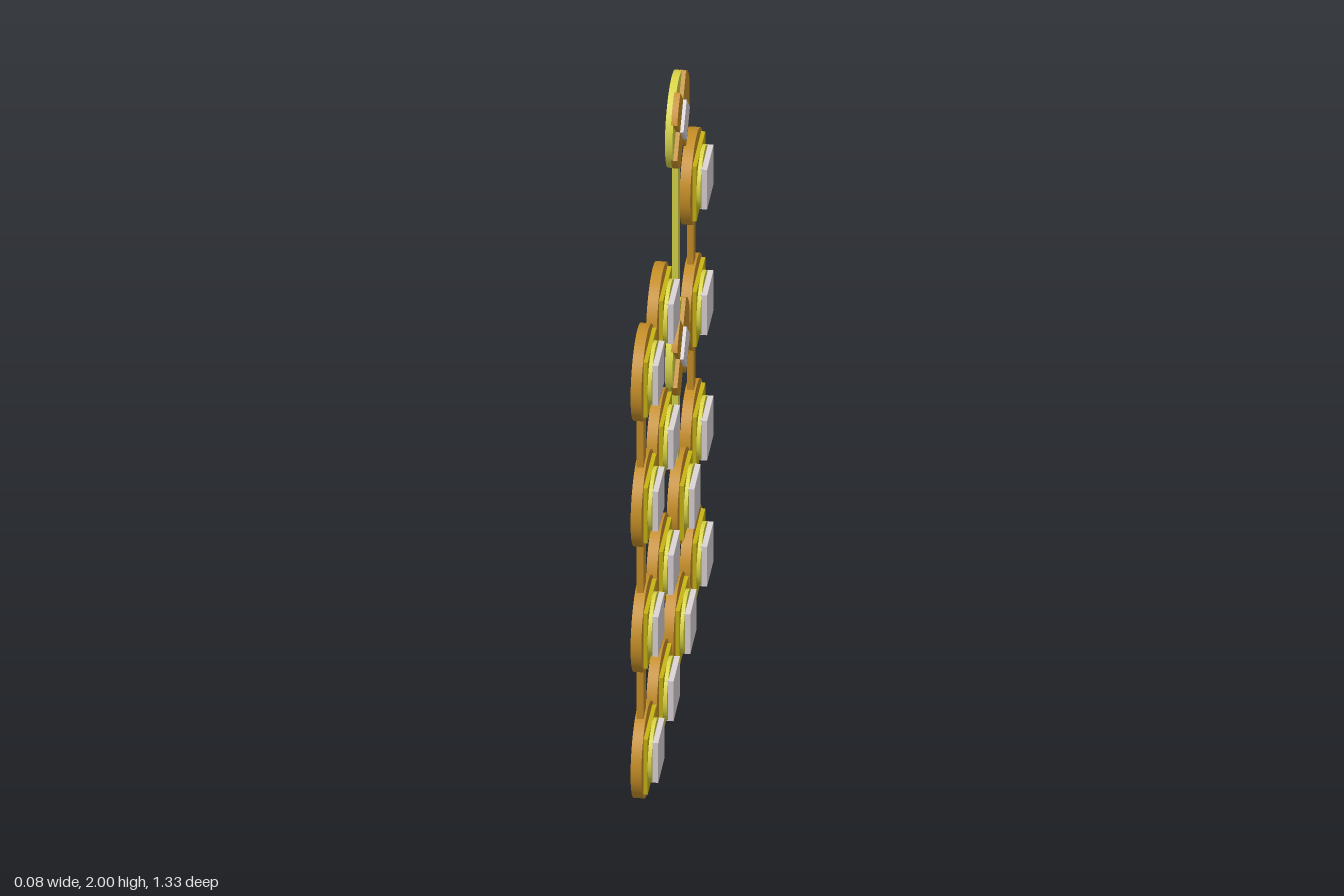
import * as THREE from 'three';

const ORANGE = 0xc89028, YELLOW = 0xdcd84a, GOLD = 0xc8b414, PALE = 0xddd5d8;
const R = 0.141;

function add(parent, name, geometry, color) {
  const material = new THREE.MeshStandardMaterial({ color });
  const mesh = new THREE.Mesh(geometry, material);
  mesh.name = name;
  parent.add(mesh);
  return mesh;
}

// Disc facing +x, spanning x0..x1
function disc(parent, name, radius, x0, x1, color) {
  const g = new THREE.CylinderGeometry(radius, radius, x1 - x0, 48);
  g.rotateZ(-Math.PI / 2);
  g.translate((x0 + x1) / 2, 0, 0);
  return add(parent, name, g, color);
}

// Box spanning x0..x1, with height h and width w
function plate(parent, name, h, w, x0, x1, color) {
  const g = new THREE.BoxGeometry(x1 - x0, h, w);
  g.translate((x0 + x1) / 2, 0, 0);
  return add(parent, name, g, color);
}

// Round base with a square plate, a smaller disc and a pale square on top
function squareMedallion(x, y, z) {
  const g = new THREE.Group();
  g.name = 'squareMedallion';
  disc(g, 'base', R, -0.042, -0.011, ORANGE);
  plate(g, 'squarePlate', 0.187, 0.187, -0.015, 0.001, GOLD);
  disc(g, 'innerDisc', 0.0935, -0.012, 0.012, YELLOW);
  plate(g, 'paleSquare', 0.135, 0.135, 0.008, 0.028, PALE);
  g.position.set(x, y, z);
  return g;
}

// Diagonal cross whose arms end on the disc's rim
function crossGeometry(radius, half, x0, x1) {
  const shape = new THREE.Shape();
  const spread = Math.asin(half / radius);
  for (let k = 0; k < 4; k++) {
    const corner = k * Math.PI / 2, arm = corner + Math.PI / 4;
    const px = Math.cos(corner) * half * Math.SQRT2, py = Math.sin(corner) * half * Math.SQRT2;
    if (k === 0) shape.moveTo(px, py); else shape.lineTo(px, py);
    shape.absarc(0, 0, radius, arm - spread, arm + spread, false);
  }
  shape.closePath();
  const g = new THREE.ExtrudeGeometry(shape, { depth: x1 - x0, bevelEnabled: false, curveSegments: 8 });
  g.rotateY(Math.PI / 2);
  g.translate(x0, 0, 0);
  return g;
}

function crossMedallion(y, z) {
  const g = new THREE.Group();
  g.name = 'crossMedallion';
  disc(g, 'base', R, -0.034, -0.012, YELLOW);
  add(g, 'cross', crossGeometry(R + 0.0005, 0.0485, -0.018, 0), ORANGE);
  plate(g, 'paleDiamond', 0.097, 0.097, -0.005, 0.01, PALE).rotation.x = Math.PI / 4;
  g.position.set(0, y, z);
  return g;
}

function bar(parent, name, y0, y1, z, width, x0, x1, color) {
  plate(parent, name, y1 - y0, width, x0, x1, color).position.set(0, (y0 + y1) / 2, z);
}

export function createModel() {
  const model = new THREE.Group();
  model.name = 'medallionStrands';
  const rows = [0.144, 0.573, 1.0, 1.428];

  // Three full strands
  const strands = [
    { z: 0.522, barZ: 0.545, width: 0.048 },
    { z: 0.194, barZ: 0.191, width: 0.042 },
    { z: -0.522, barZ: -0.522, width: 0.042 },
  ];
  for (const s of strands) {
    for (const y of rows) model.add(squareMedallion(0, y, s.z));
    bar(model, 'strandBar', rows[0], rows[3], s.barZ, s.width, -0.037, -0.017, ORANGE);
  }

  // Odd strand: two square medallions below, two crosses above
  model.add(squareMedallion(0, rows[0], -0.163));
  model.add(squareMedallion(0.012, rows[1], -0.16));
  bar(model, 'strandBar', rows[0], rows[1], -0.16, 0.042, -0.037, -0.017, ORANGE);
  model.add(crossMedallion(1.086, -0.152));
  model.add(crossMedallion(1.859, -0.152));
  bar(model, 'yellowBar', 0.62, 1.85, -0.152, 0.046, -0.029, -0.0125, YELLOW);
  return model;
}
